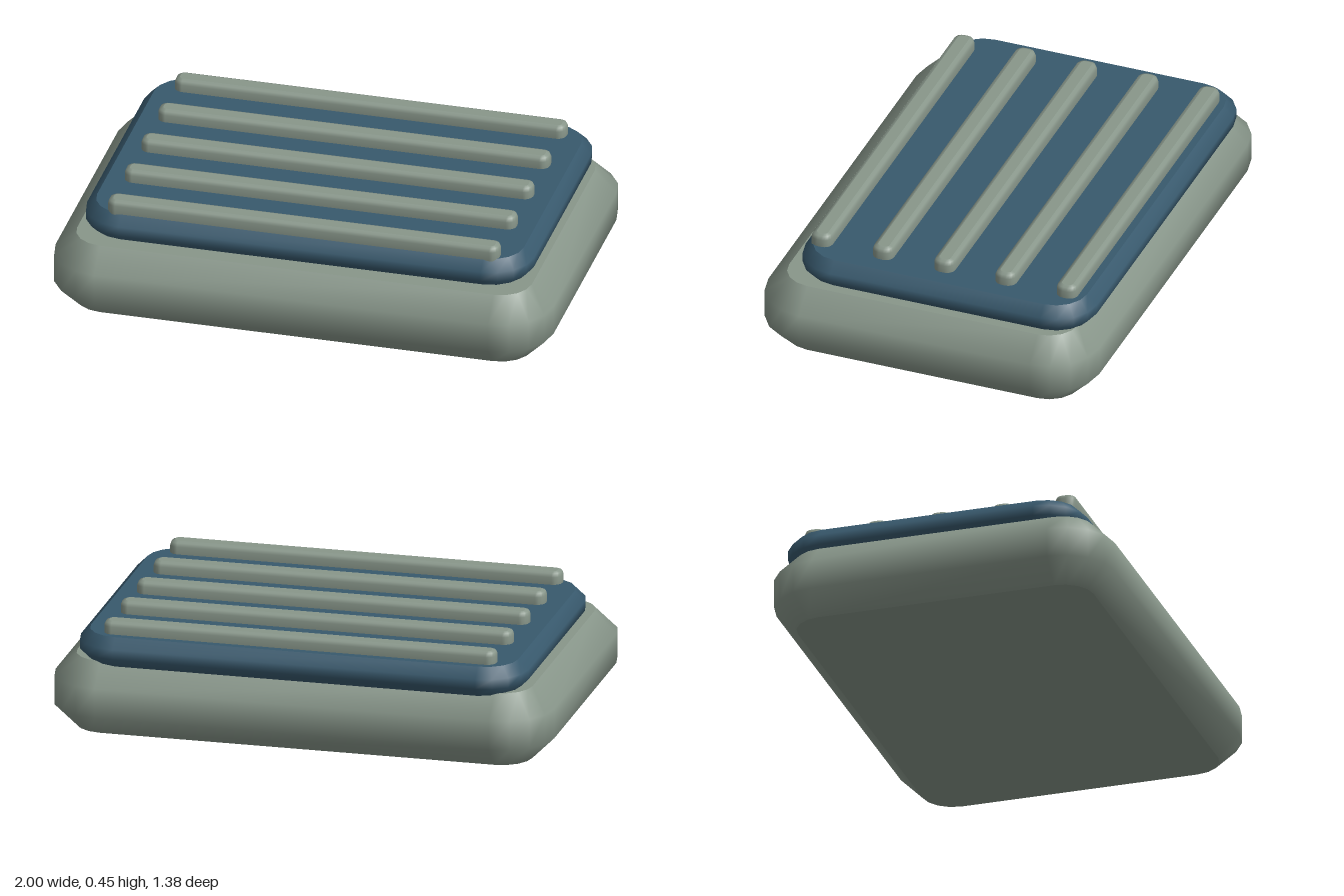
import * as THREE from 'three';

const sage = new THREE.MeshStandardMaterial({ name: 'sageGrey', color: 0x88968a });
const blue = new THREE.MeshStandardMaterial({ name: 'slateBlue', color: 0x38596d });

// Outline of a rectangle with rounded corners, as [x, z] pairs
function outline(halfX, halfZ, radius, segments) {
  const points = [];
  for (let corner = 0; corner < 4; corner++) {
    const sx = corner === 0 || corner === 3 ? 1 : -1;
    const sz = corner < 2 ? 1 : -1;
    for (let i = 0; i <= segments; i++) {
      const a = (corner + i / segments) * Math.PI / 2;
      points.push([
        sx * (halfX - radius) + radius * Math.cos(a),
        sz * (halfZ - radius) + radius * Math.sin(a),
      ]);
    }
  }
  return points;
}

// Slab with bevelled rims: smooth wall around, flat caps with sharp edges
function slab(halfX, halfZ, y0, y1, radius, bevel, bevelSteps, segments) {
  const profile = [];
  for (let i = 0; i <= bevelSteps; i++) {
    const a = (i / bevelSteps) * Math.PI / 2;
    profile.push([bevel * (1 - Math.sin(a)), y0 + bevel * (1 - Math.cos(a))]);
  }
  for (let i = bevelSteps; i >= 0; i--) {
    profile.push([profile[i][0], y0 + y1 - profile[i][1]]);
  }

  const positions = [];
  const index = [];
  const addRing = ([inset, y]) => {
    const start = positions.length / 3;
    for (const [x, z] of outline(halfX - inset, halfZ - inset, radius - inset, segments)) {
      positions.push(x, y, z);
    }
    return start;
  };

  // Wall
  const n = 4 * (segments + 1);
  const rings = profile.map(addRing);
  for (let r = 0; r < rings.length - 1; r++) {
    for (let i = 0; i < n; i++) {
      const j = (i + 1) % n;
      const a = rings[r] + i, b = rings[r] + j;
      const c = rings[r + 1] + i, d = rings[r + 1] + j;
      index.push(a, c, b, b, c, d);
    }
  }

  // Caps
  const bottom = addRing(profile[0]);
  const top = addRing(profile[profile.length - 1]);
  for (let i = 1; i < n - 1; i++) {
    index.push(bottom, bottom + i, bottom + i + 1);
    index.push(top, top + i + 1, top + i);
  }

  const geometry = new THREE.BufferGeometry();
  geometry.setAttribute('position', new THREE.Float32BufferAttribute(positions, 3));
  geometry.setIndex(index);
  geometry.computeVertexNormals();
  return geometry;
}

export function createModel() {
  const model = new THREE.Group();
  model.name = 'ribbedPad';

  const add = (name, geometry, material, z = 0) => {
    const mesh = new THREE.Mesh(geometry, material);
    mesh.name = name;
    mesh.position.z = z;
    model.add(mesh);
  };

  // Heavy base and the thinner pad set slightly towards the back
  add('base', slab(1, 0.69, 0, 0.293, 0.21, 0.087, 1, 4), sage);
  add('pad', slab(0.897, 0.607, 0.28, 0.4, 0.17, 0.04, 1, 4), blue, -0.048);

  // Five raised ribs running across the pad
  const rib = slab(0.786, 0.043, 0.37, 0.45, 0.035, 0.02, 2, 4);
  for (let i = 0; i < 5; i++) {
    add(`rib${i + 1}`, rib, sage, 0.479 - i * 0.2555);
  }
  return model;
}
